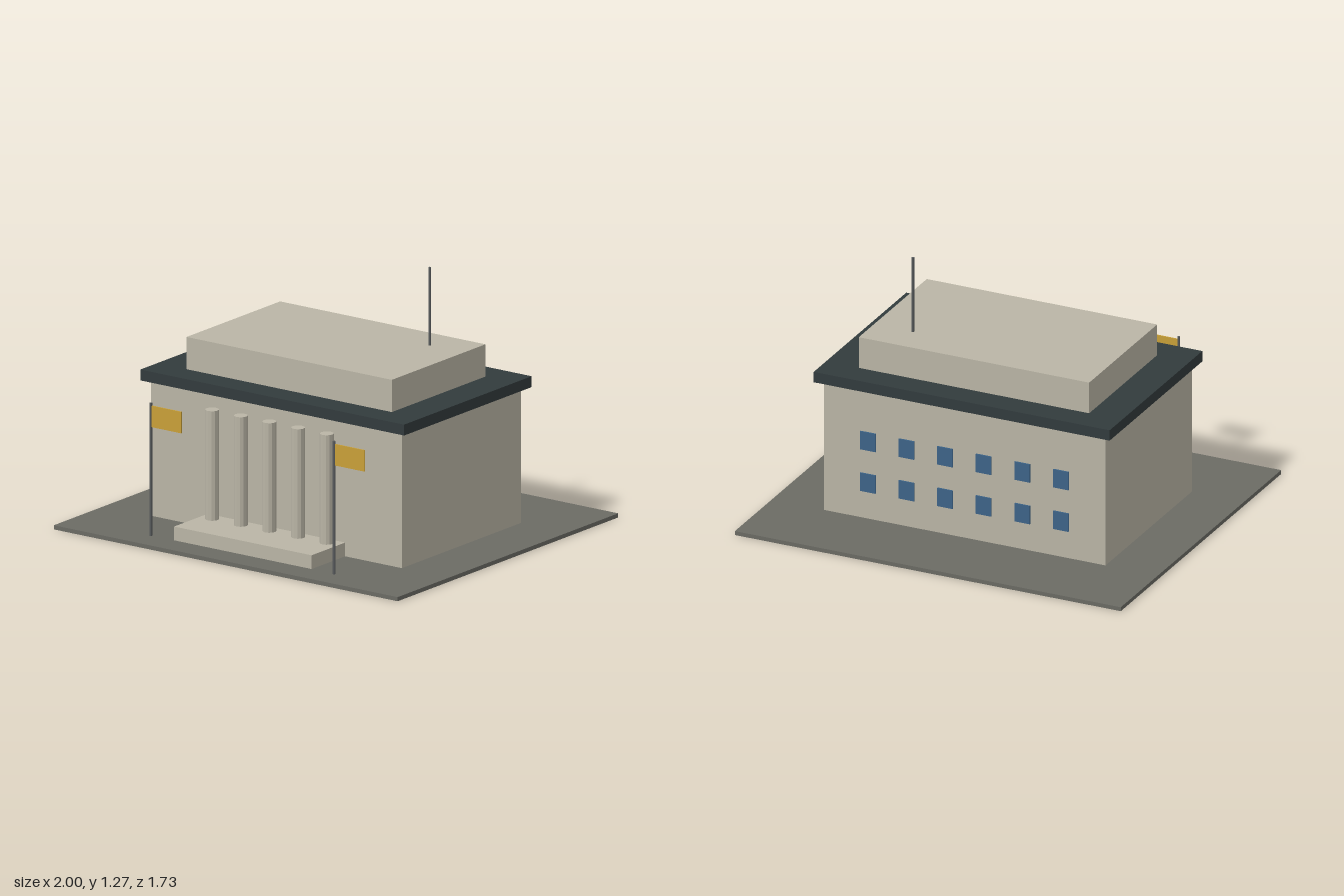
import * as THREE from 'three';

const material = (name, color) => {
  const m = new THREE.MeshStandardMaterial({ color });
  m.name = name;
  return m;
};

export function createModel() {
  const stone = material('stone', 0xbab5a6);
  const paving = material('paving', 0x6b6b64);
  const slate = material('roof slate', 0x323b3d);
  const metal = material('pole metal', 0x575a5c);
  const gold = material('flag gold', 0xc9a038);
  const glass = material('window glass', 0x3d6488);

  const model = new THREE.Group();
  model.name = 'civicBuilding';

  const add = (name, geometry, mat, x, y, z) => {
    const mesh = new THREE.Mesh(geometry, mat);
    mesh.name = name;
    mesh.position.set(x, y, z);
    model.add(mesh);
  };
  // Box given by its size, its bottom height and its centre in x and z
  const box = (name, mat, w, h, d, x, y, z) =>
    add(name, new THREE.BoxGeometry(w, h, d), mat, x, y + h / 2, z);
  // Faceted upright post between two heights
  const post = (name, mat, r, y0, y1, x, z, sides) => {
    const g = new THREE.CylinderGeometry(r, r, y1 - y0, sides).toNonIndexed();
    g.computeVertexNormals();
    add(name, g, mat, x, (y0 + y1) / 2, z);
  };

  // Ground and building mass
  box('plaza', paving, 2, 0.02, 1.73, 0, 0, 0);
  box('mainBlock', stone, 1.46, 0.66, 0.934, 0, 0.02, 0);
  box('roofSlab', slate, 1.534, 0.053, 1, 0, 0.68, 0);
  box('upperBlock', stone, 1.194, 0.157, 0.734, 0, 0.733, 0);
  post('antenna', metal, 0.007, 0.89, 1.27, 0.397, -0.2, 8);

  // Entrance platform with its row of columns
  box('entrancePlatform', stone, 0.8, 0.067, 0.266, 0, 0.02, 0.597);
  for (let i = -2; i <= 2; i++) {
    post('column', stone, 0.033, 0.087, 0.62, i * 0.1667, 0.522, 12);
  }

  // Flagpoles, both flags flying towards +x
  for (const x of [-0.533, 0.533]) {
    post('flagpole', metal, 0.007, 0.02, 0.667, x, 0.733, 8);
    box('flag', gold, 0.178, 0.104, 0.006, x + 0.089, 0.55, 0.733);
  }

  // Two rows of windows on the rear wall
  for (const y of [0.157, 0.37]) {
    for (let i = 0; i < 6; i++) {
      box('window', glass, 0.08, 0.093, 0.009, -0.5 + i * 0.2, y, -0.469);
    }
  }

  return model;
}
